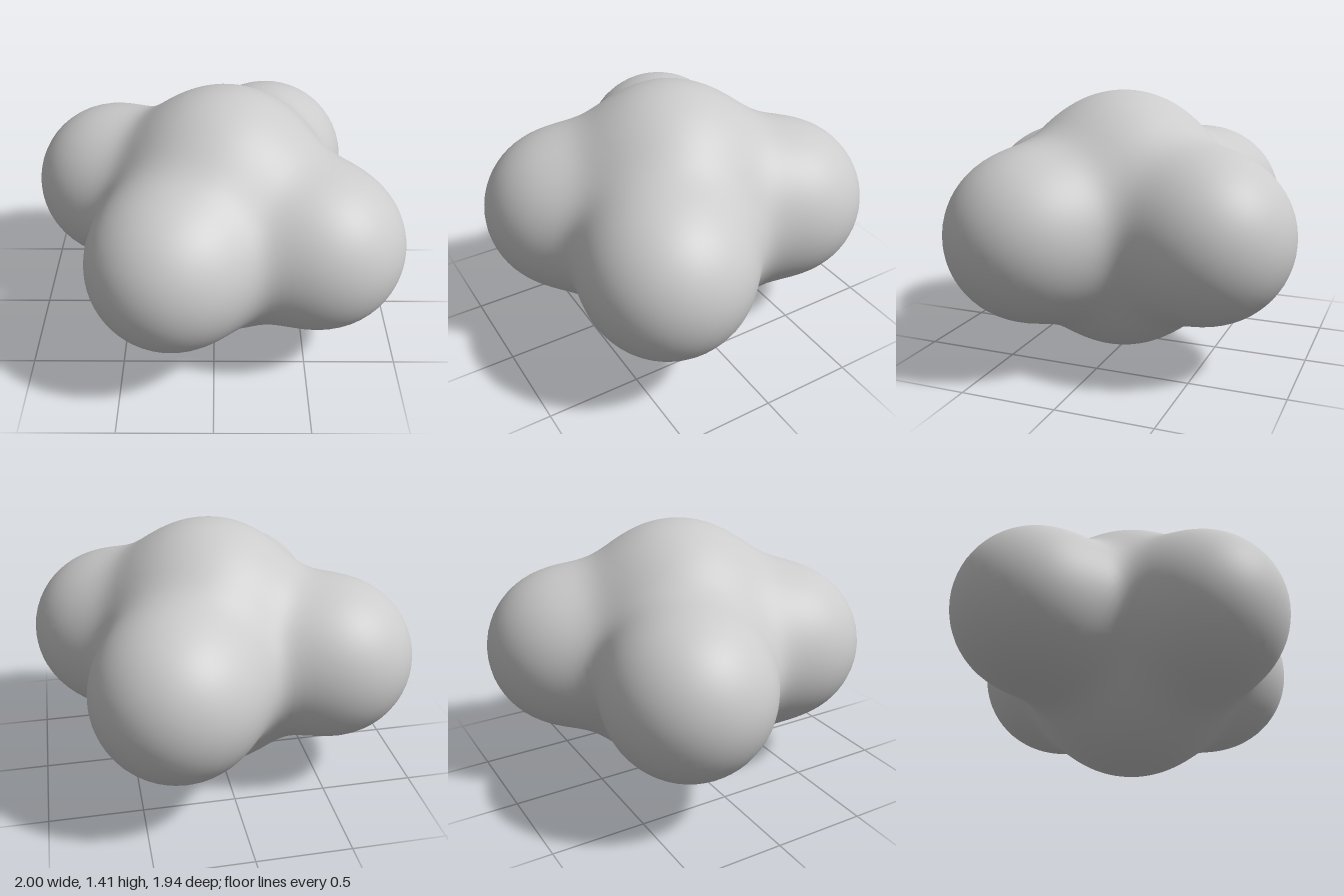
import * as THREE from 'three';
import { mergeVertices } from 'three/addons/utils/BufferGeometryUtils.js';

// Balls that melt into one another: x, y, z, radius
const balls = [
  [-0.57, 0.72, -0.27, 0.43], // right lobe
  [-0.22, 0.72, 0.53, 0.43], // front lobe
  [0.56, 0.71, 0.34, 0.435], // left lobe
  [0.31, 0.72, -0.54, 0.435], // back lobe
  [0.05, 0.91, 0.02, 0.5], // top bulge
  [0.05, 0.51, 0.02, 0.5], // bottom bulge
].map(([x, y, z, r]) => ({ centre: new THREE.Vector3(x, y, z), r }));

const BLEND = 0.1;
const CORE = new THREE.Vector3(0.03, 0.71, 0.01);

// Smoothly blended distance to all the balls
function distance(p) {
  let sum = 0;
  for (const b of balls) sum += Math.exp(-(p.distanceTo(b.centre) - b.r) / BLEND);
  return -BLEND * Math.log(sum);
}

// Walk inward along a ray towards the core until the blended skin is met
function skinPoint(dir) {
  const p = new THREE.Vector3();
  let t = 1.5;
  for (let i = 0; i < 120; i++) {
    const d = distance(p.copy(CORE).addScaledVector(dir, t));
    if (d < 0.0005) break;
    t -= d;
  }
  return p;
}

export function createModel() {
  const group = new THREE.Group();
  group.name = 'blob';

  // Weld the sphere so that the normals come out smooth
  let geometry = new THREE.IcosahedronGeometry(1, 22);
  geometry.deleteAttribute('uv');
  geometry.deleteAttribute('normal');
  geometry = mergeVertices(geometry, 1e-4);

  const pos = geometry.attributes.position;
  const dir = new THREE.Vector3();
  for (let i = 0; i < pos.count; i++) {
    const p = skinPoint(dir.fromBufferAttribute(pos, i).normalize());
    pos.setXYZ(i, p.x, p.y, p.z);
  }
  geometry.computeVertexNormals();

  const skin = new THREE.Mesh(geometry, new THREE.MeshStandardMaterial({ color: 0xcccccc }));
  skin.name = 'blobSkin';
  group.add(skin);
  return group;
}
